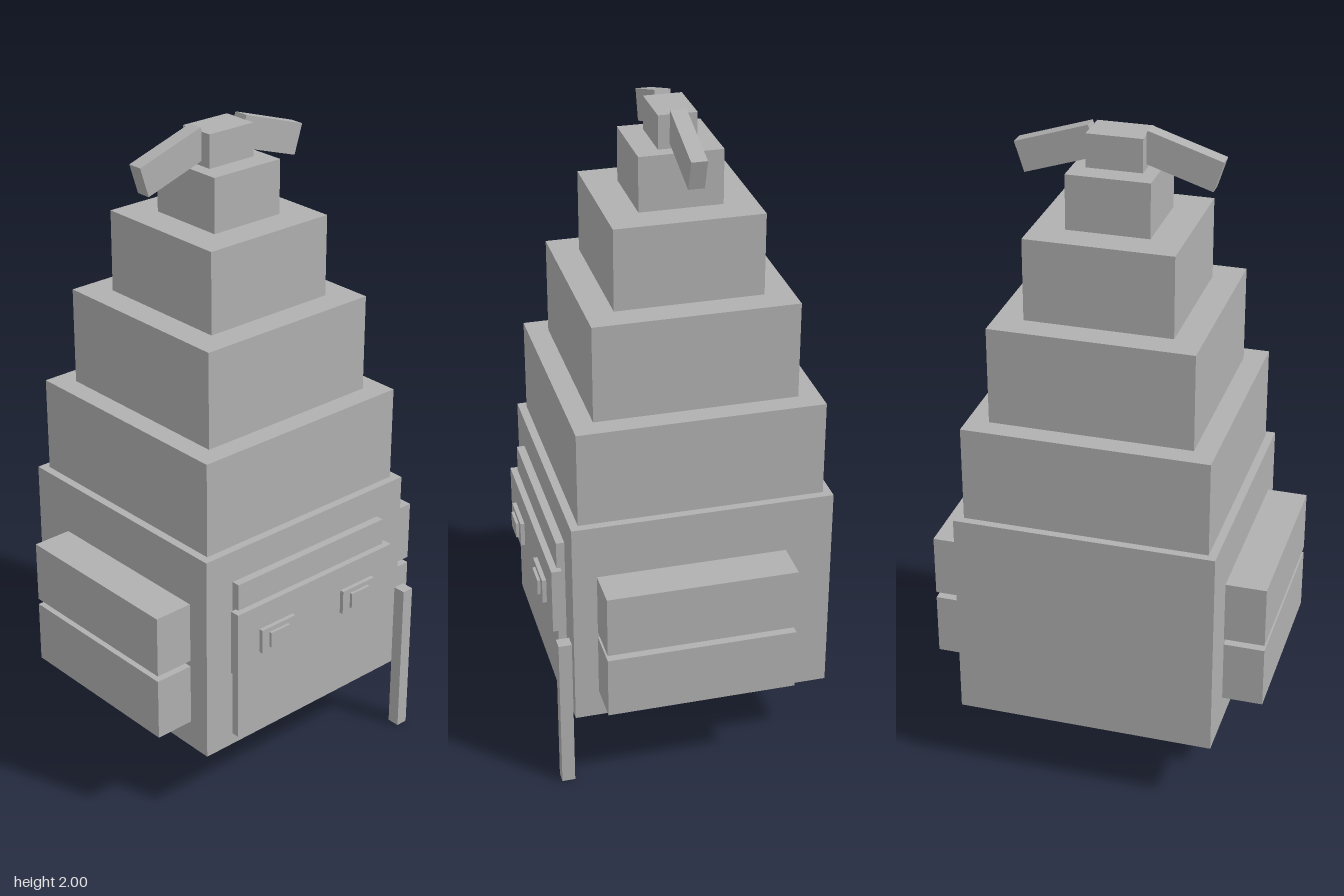
import * as THREE from 'three';

export function createModel() {
  const model = new THREE.Group();
  model.name = 'tieredFigure';
  const grey = new THREE.MeshStandardMaterial({ color: 0xb0b0b0 });
  grey.name = 'grey';

  // Box given by its minimum and maximum on each axis
  function box(name, [x0, x1], [y0, y1], [z0, z1]) {
    const mesh = new THREE.Mesh(new THREE.BoxGeometry(x1 - x0, y1 - y0, z1 - z0), grey);
    mesh.position.set((x0 + x1) / 2, (y0 + y1) / 2, (z0 + z1) / 2);
    mesh.name = name;
    model.add(mesh);
    return mesh;
  }

  // Body and stacked square tiers: half width, bottom, top
  const centreZ = -0.035;
  [
    ['body', 0.395, 0.217, 0.88],
    ['lowerTier', 0.37, 0.88, 1.175],
    ['middleTier', 0.305, 1.175, 1.473],
    ['upperTier', 0.221, 1.473, 1.722],
    ['topTier', 0.124, 1.722, 1.887],
  ].forEach(([name, r, y0, y1]) => box(name, [-r, r], [y0, y1], [centreZ - r, centreZ + r]));

  // Knot and its two drooping leaves
  box('knot', [-0.083, 0.083], [1.887, 1.987], [-0.092, 0.022]);
  for (const s of [1, -1]) {
    const leaf = box(s > 0 ? 'leftLeaf' : 'rightLeaf', [-0.115, 0.115], [-0.047, 0.047], [-0.059, -0.012]);
    leaf.position.x = s * 0.181;
    leaf.position.y = 1.92;
    leaf.rotation.z = -s * 0.31;
  }

  // Face panel and the band across the eyes
  box('facePanel', [-0.295, 0.293], [0.255, 0.78], [0.355, 0.385]);
  box('eyeBand', [-0.314, 0.312], [0.485, 0.695], [0.374, 0.405]);

  // Eyes and side blocks on both sides
  for (const s of [1, -1]) {
    const side = s > 0 ? 'left' : 'right';
    const span = (a, b) => (s > 0 ? [a, b] : [-b, -a]);
    box(side + 'Eye', span(0.099, 0.23), [0.537, 0.615], [0.4, 0.418]);
    box(side + 'Pupil', span(0.128, 0.202), [0.55, 0.6], [0.418, 0.427]);
    box(side + 'LowerBlock', span(0.39, 0.519), [0.305, 0.5], [-0.288, 0.287]);
    box(side + 'UpperBlock', span(0.39, 0.519), [0.519, 0.712], [-0.288, 0.287]);
  }

  // Upright stick at the front left corner
  box('stick', [0.375, 0.413], [0, 0.5], [0.37, 0.41]);

  return model;
}
